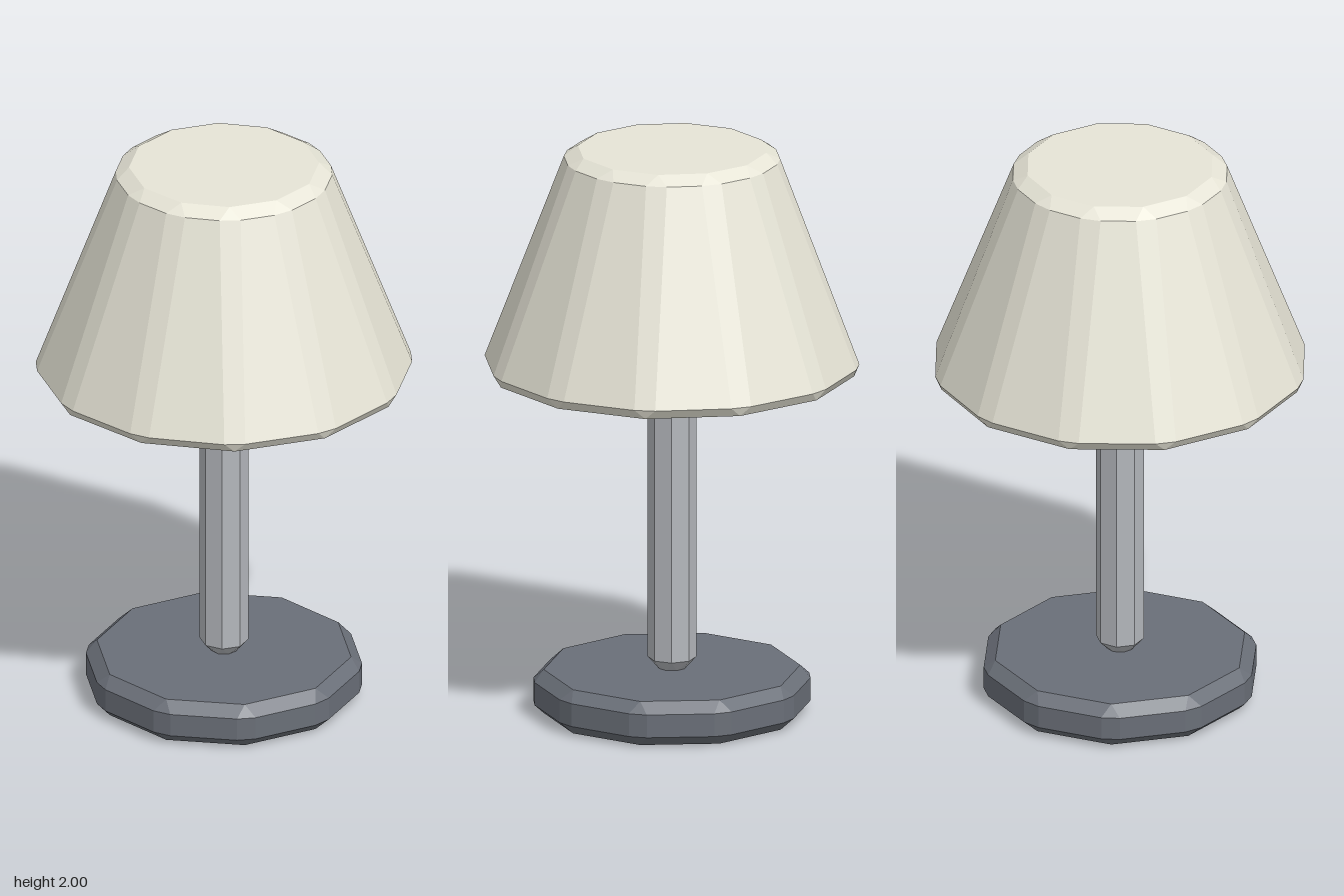
import * as THREE from 'three';

// Faceted prism with every edge chamfered: plain n-gon caps, and rings whose
// corners are split in two by half-width w. Profile rows are [radius, y].
function chamferedPrism(n, w, capLow, ringLow, ringHigh, capHigh) {
  const at = ([r, y], i, shift) => {
    const a = (i / n) * Math.PI * 2, s = Math.sin(a), c = Math.cos(a);
    return new THREE.Vector3(r * s + shift * c, y, r * c - shift * s);
  };
  const pos = [];
  const face = (...p) => {
    for (let k = 1; k < p.length - 1; k++) {
      const tri = [p[0], p[k], p[k + 1]];
      if (new THREE.Triangle(...tri).getArea() < 1e-7) continue;
      tri.forEach(v => pos.push(v.x, v.y, v.z));
    }
  };
  for (let i = 0; i < n; i++) {
    const j = i + 1;
    const lowA = at(capLow, i, 0), lowB = at(capLow, j, 0);
    const topA = at(capHigh, i, 0), topB = at(capHigh, j, 0);
    const l0 = at(ringLow, i, -w), l1 = at(ringLow, i, w), l2 = at(ringLow, j, -w);
    const h0 = at(ringHigh, i, -w), h1 = at(ringHigh, i, w), h2 = at(ringHigh, j, -w);
    face(l0, l1, h1, h0);          // corner strip
    face(l1, l2, h2, h1);          // side panel
    face(h0, h1, topA);            // upper corner
    face(h1, h2, topB, topA);      // upper chamfer
    face(l0, lowA, l1);            // lower corner
    face(l1, lowA, lowB, l2);      // lower chamfer
    face(new THREE.Vector3(0, capHigh[1], 0), topA, topB);
    face(new THREE.Vector3(0, capLow[1], 0), lowB, lowA);
  }
  const geo = new THREE.BufferGeometry();
  geo.setAttribute('position', new THREE.Float32BufferAttribute(pos, 3));
  geo.computeVertexNormals();
  return geo;
}

export function createModel() {
  const lamp = new THREE.Group();
  lamp.name = 'tableLamp';
  const add = (name, color, geo) => {
    const mesh = new THREE.Mesh(geo, new THREE.MeshStandardMaterial({ color, flatShading: true }));
    mesh.name = name;
    lamp.add(mesh);
  };

  // Ten-sided foot
  add('base', 0x6a6f78, chamferedPrism(10, 0.032, [0.44, 0], [0.473, 0.037], [0.473, 0.118], [0.44, 0.155]));

  // Eight-sided stem; its split corners meet, so the shaft is a plain octagon
  add('stem', 0xb4b7bc, chamferedPrism(8, 0.077 * Math.tan(Math.PI / 8),
    [0.045, 0.153], [0.077, 0.193], [0.077, 1.178], [0.045, 1.217]));

  // Twelve-sided closed, tapering shade
  add('shade', 0xe6e4d6, chamferedPrism(12, 0.036, [0.63, 1.217], [0.643, 1.25], [0.369, 1.97], [0.326, 2]));

  return lamp;
}
